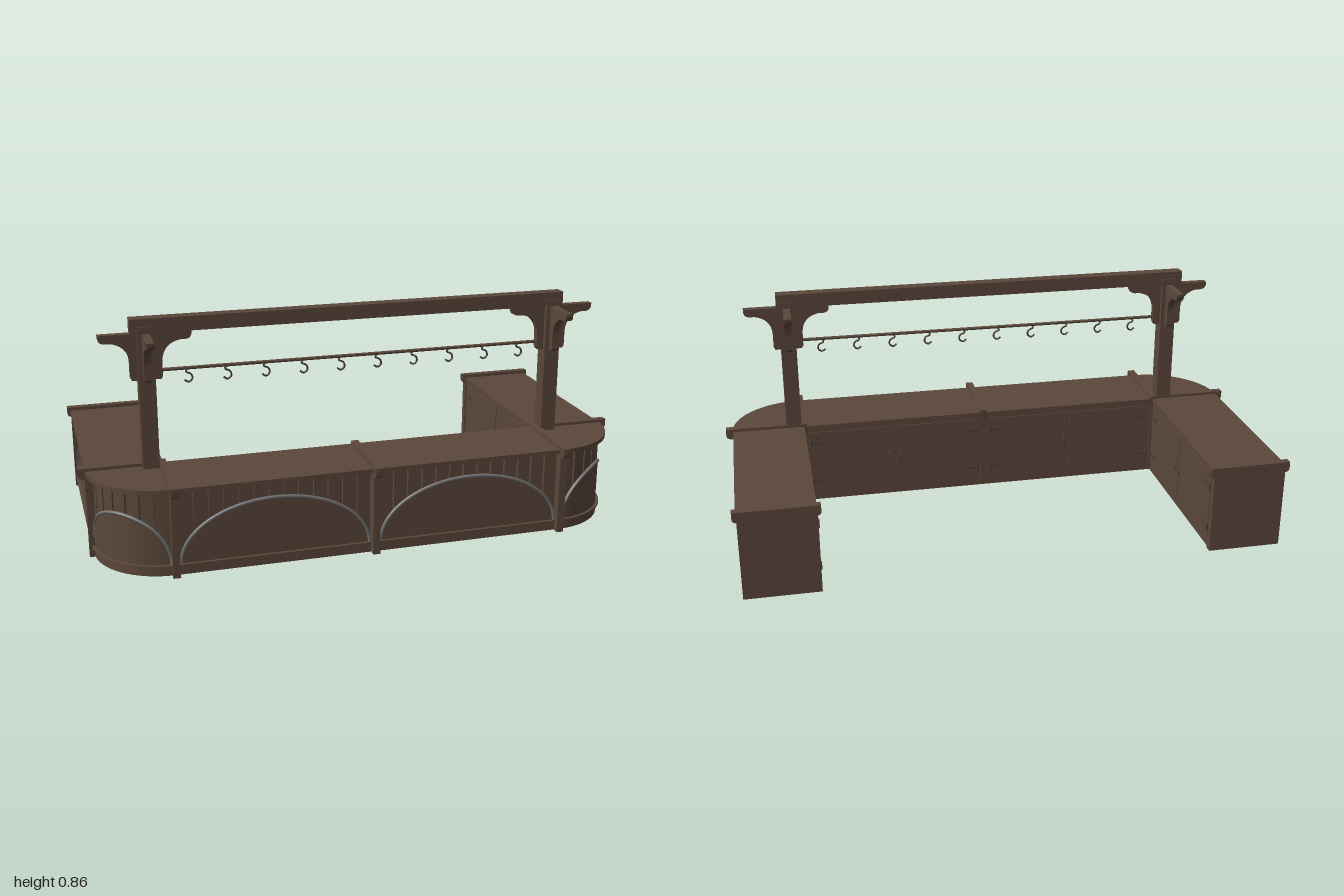
import * as THREE from 'three';
import { toCreasedNormals } from 'three/addons/utils/BufferGeometryUtils.js';

const mat = (name, color, side = THREE.FrontSide) => {
  const m = new THREE.MeshStandardMaterial({ color, side });
  m.name = name;
  return m;
};

export function createModel() {
  const wood = mat('brown wood', 0x5b473a);
  const trimMat = mat('grey trim', 0x737373);
  const metal = mat('dark metal', 0x4c4038);
  const root = new THREE.Group();
  root.name = 'counter';

  const add = (parent, name, geo, material = wood) => {
    const m = new THREE.Mesh(geo, material);
    m.name = name;
    parent.add(m);
    return m;
  };
  // Box given by its limits on each axis
  const block = (parent, name, [x0, x1], [y0, y1], [z0, z1], material = wood) => {
    const g = new THREE.BoxGeometry(x1 - x0, y1 - y0, z1 - z0);
    g.translate((x0 + x1) / 2, (y0 + y1) / 2, (z0 + z1) / 2);
    return add(parent, name, g, material);
  };
  const frame = (name, x, z, turn, parent = root) => {
    const g = new THREE.Group();
    g.name = name;
    g.position.set(x, 0, z);
    g.rotation.y = turn;
    parent.add(g);
    return g;
  };

  // Wraps flat geometry round a vertical quarter cylinder
  const R = 0.25;
  const bend = (geo) => {
    const p = geo.attributes.position;
    for (let i = 0; i < p.count; i++) {
      const a = p.getX(i) / R, r = R + p.getZ(i);
      p.setX(i, r * Math.sin(a));
      p.setZ(i, r * Math.cos(a));
    }
    geo.computeVertexNormals();
    return geo;
  };

  // Arched facing: planks, arch panel, grey trim and skirting
  const fascia = (name, x, z, turn, width, peak, curved) => {
    const g = frame(name, x, z, turn);
    const shape = (geo) => (curved ? bend(geo) : geo);
    const strip = (label, u, w, y0, y1, d0, d1) => {
      const b = new THREE.BoxGeometry(w, y1 - y0, d1 - d0, curved ? Math.ceil(w / 0.025) : 1);
      b.translate(u, (y0 + y1) / 2, (d0 + d1) / 2);
      add(g, label, shape(b));
    };
    const count = Math.round(width / 0.055), step = width / count;
    for (let i = 0; i < count; i++) {
      strip('plank', (i + 0.5) * step - width / 2, step - 0.007, 0.04, 0.312, -0.02, -0.006);
    }
    strip('skirting', 0, width, 0.002, 0.04, -0.02, 0.002);
    strip('skirtingLip', 0, width, 0.037, 0.043, -0.02, 0.012);

    const half = width / 2 - 0.006, base = 0.04;
    const panel = new THREE.PlaneGeometry(half * 2, 1, 40, 1);
    const p = panel.attributes.position;
    for (let i = 0; i < p.count; i++) {
      const t = -Math.cos(Math.PI * (p.getX(i) / (2 * half) + 0.5));
      const top = base + (peak - base) * Math.sqrt(Math.max(0, 1 - t * t));
      p.setXYZ(i, t * half, p.getY(i) > 0 ? top : base, 0);
    }
    add(g, 'archPanel', shape(panel));
    const pts = [];
    for (let i = 0; i <= 32; i++) {
      const a = Math.PI * (1 - i / 32);
      pts.push(new THREE.Vector3(half * Math.cos(a), base + (peak - base) * Math.sin(a), 0));
    }
    const tube = new THREE.TubeGeometry(new THREE.CatmullRomCurve3(pts), 48, 0.006, 6);
    add(g, 'archTrim', shape(tube), trimMat);
  };

  // Bar along z with rounded lower ends
  const roundedBar = (length, height, width, radius) => {
    const h = length / 2;
    const s = new THREE.Shape();
    s.moveTo(-h, height);
    s.lineTo(-h, radius);
    s.quadraticCurveTo(-h, 0, -h + radius, 0);
    s.lineTo(h - radius, 0);
    s.quadraticCurveTo(h, 0, h, radius);
    s.lineTo(h, height);
    const g = new THREE.ExtrudeGeometry(s, { depth: width, bevelEnabled: false, curveSegments: 6 });
    g.translate(0, 0, -width / 2);
    g.rotateY(Math.PI / 2);
    return toCreasedNormals(g, 0.6);
  };

  // Divider with an upright and a nosed cap; outward is local +z
  const divider = (x, z, turn) => {
    const g = frame('divider', x, z, turn);
    block(g, 'dividerUpright', [-0.013, 0.013], [0, 0.31], [-0.03, 0.025]);
    const cap = add(g, 'dividerCap', roundedBar(0.31, 0.04, 0.027, 0.02));
    cap.position.set(0, 0.296, -0.105);
    block(g, 'dividerBack', [-0.011, 0.011], [0.005, 0.32], [-0.258, -0.24]);
  };

  // Pair of cupboard doors with hinges and handles, facing local +z
  const cupboard = (x, z, turn) => {
    const g = frame('cupboard', x, z, turn);
    for (const s of [-1, 1]) {
      const c = s * 0.168;
      block(g, 'door', [c - 0.165, c + 0.165], [0.04, 0.295], [0, 0.004]);
      for (const y of [0.085, 0.25]) {
        const a = s * 0.328, b = s * 0.275;
        block(g, 'hingeStrap', [Math.min(a, b), Math.max(a, b)], [y - 0.006, y + 0.006], [0.004, 0.008], metal);
        const pin = add(g, 'hingePin', new THREE.CylinderGeometry(0.005, 0.005, 0.03, 8), metal);
        pin.position.set(s * 0.333, y, 0.006);
      }
      const handle = new THREE.TorusGeometry(0.02, 0.003, 6, 12, Math.PI);
      handle.rotateZ(-Math.PI / 2);
      handle.rotateY(-Math.PI / 2);
      handle.scale(1, 1, 0.6);
      add(g, 'handle', handle, metal).position.set(s * 0.023, 0.17, 0.003);
    }
  };

  // Front run
  block(root, 'frontBody', [-0.72, 0.72], [0.002, 0.31], [0.208, 0.44]);
  block(root, 'frontTop', [-0.72, 0.72], [0.31, 0.325], [0.203, 0.48]);
  for (const x of [-0.36, 0.36]) {
    fascia('frontFacing', x, 0.46, 0, 0.69, 0.252, false);
    cupboard(x, 0.208, Math.PI);
  }
  divider(0, 0.46, 0);

  // Rounded corners and side wings
  for (const s of [-1, 1]) {
    const start = s > 0 ? 0 : -Math.PI / 2;
    const quarter = (name, r, y0, y1) => {
      const g = new THREE.CylinderGeometry(r, r, y1 - y0, 20, 1, false, start, Math.PI / 2);
      g.translate(s * 0.72, (y0 + y1) / 2, 0.21);
      add(root, name, g);
    };
    quarter('cornerBody', 0.23, 0.002, 0.31);
    quarter('cornerTop', 0.27, 0.31, 0.325);
    fascia('cornerFacing', s * 0.72, 0.21, s * Math.PI / 4, 0.385, 0.222, true);

    const span = (a, b) => (s > 0 ? [a, b] : [-b, -a]);
    block(root, 'wingBody', span(0.718, 0.95), [0.002, 0.31], [-0.495, 0.212]);
    block(root, 'wingTop', span(0.713, 0.988), [0.31, 0.325], [-0.495, 0.212]);
    block(root, 'endPanel', span(0.712, 0.985), [0.002, 0.31], [-0.51, -0.483]);
    const cap = add(root, 'endCap', roundedBar(0.3, 0.038, 0.028, 0.016));
    cap.rotation.y = Math.PI / 2;
    cap.position.set(s * 0.85, 0.3, -0.497);
    fascia('wingFacing', s * 0.97, -0.14, s * Math.PI / 2, 0.69, 0.25, false);
    cupboard(s * 0.718, -0.14, -s * Math.PI / 2);
    divider(s * 0.717, 0.46, 0);
    divider(s * 0.965, 0.216, s * Math.PI / 2);
  }

  // Posts with crossed arms and curved brackets
  const PZ = 0.233;
  const bs = new THREE.Shape();
  bs.moveTo(0.02, 0.645);
  bs.lineTo(0.05, 0.645);
  bs.lineTo(0.056, 0.655);
  bs.lineTo(0.056, 0.71);
  bs.quadraticCurveTo(0.06, 0.772, 0.125, 0.782);
  bs.lineTo(0.02, 0.782);
  const bracketGeo = new THREE.ExtrudeGeometry(bs, { depth: 0.026, bevelEnabled: false, curveSegments: 8 });
  bracketGeo.translate(0, 0, -0.013);
  const bracket = toCreasedNormals(bracketGeo, 0.5);
  for (const x of [-0.76, 0.753]) {
    const g = frame('post', x, PZ, 0);
    block(g, 'postShaft', [-0.029, 0.029], [0.32, 0.836], [-0.029, 0.029]);
    for (let k = 0; k < 4; k++) {
      add(g, 'bracket', bracket).rotation.y = k * Math.PI / 2;
    }
    for (const turn of [0, Math.PI / 2]) {
      const arm = add(g, 'crossArm', roundedBar(0.32, 0.03, 0.027, 0.024));
      arm.position.y = 0.781;
      arm.rotation.y = turn;
    }
  }
  block(root, 'topBeam', [-0.812, 0.79], [0.812, 0.863], [PZ - 0.023, PZ + 0.023]);

  // Hanging rail and hooks
  const rail = new THREE.CylinderGeometry(0.006, 0.006, 1.46, 10);
  rail.rotateZ(Math.PI / 2);
  add(root, 'rail', rail).position.set(0, 0.674, PZ);
  const hookPath = new THREE.CatmullRomCurve3(
    [[0, 0], [-0.008, -0.013], [0.01, -0.023], [0.014, -0.04], [0, -0.051], [-0.014, -0.042]]
      .map(([x, y]) => new THREE.Vector3(x, y, 0)));
  const hookGeo = new THREE.TubeGeometry(hookPath, 20, 0.0035, 6);
  for (let i = 0; i < 10; i++) {
    add(root, 'hook', hookGeo, metal).position.set(-0.615 + i * 0.138, 0.674, PZ);
  }
  return root;
}
